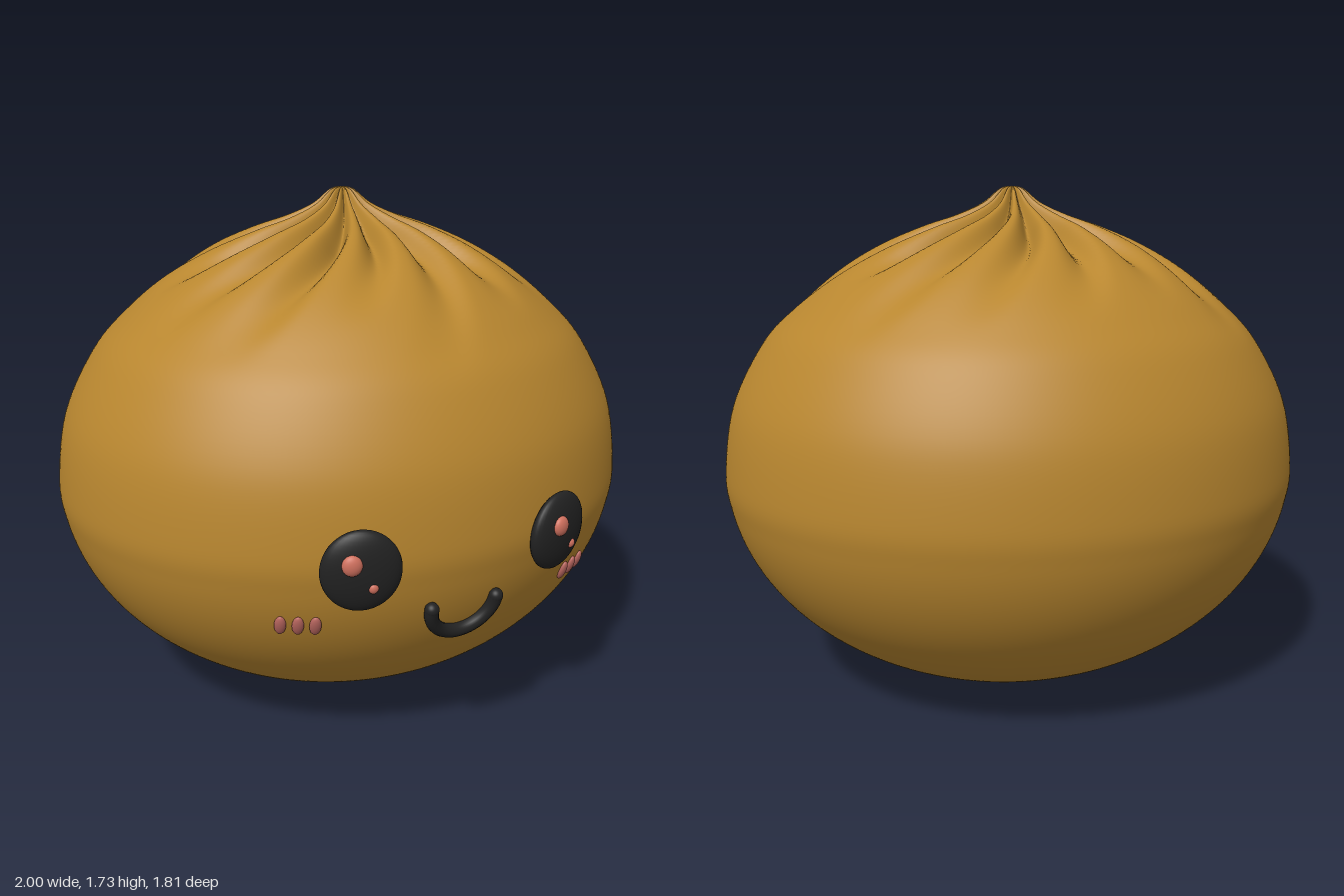
import * as THREE from 'three';
import { mergeVertices } from 'three/addons/utils/BufferGeometryUtils.js';

const mat = (name, color) => {
  const m = new THREE.MeshStandardMaterial({ color });
  m.name = name;
  return m;
};

const MID = 0.78, DEPTH = 0.892, SHIFT = -0.012, FOLDS = 14;
const smooth = THREE.MathUtils.smoothstep;

// Plump bun with spiral pleats gathered into a small peak
function bunGeometry() {
  const profile = [];
  for (let i = 0; i <= 10; i++) {
    const a = (i / 10) * Math.PI / 2;
    profile.push(new THREE.Vector2(Math.sin(a), MID - MID * Math.cos(a)));
  }
  [[0.963, 1.0], [0.86, 1.2], [0.75, 1.32], [0.61, 1.435], [0.46, 1.525], [0.31, 1.59],
    [0.19, 1.63], [0.1, 1.67], [0.04, 1.717], [0, 1.725]]
    .forEach(([r, y]) => profile.push(new THREE.Vector2(r, y)));
  const pts = new THREE.SplineCurve(profile).getPoints(140);
  pts.forEach((p) => { p.x = Math.max(p.x, 0); });
  pts[0].set(0, 0);
  pts[pts.length - 1].x = 0;

  let geo = new THREE.LatheGeometry(pts, 336);
  const pos = geo.attributes.position, nor = geo.attributes.normal;
  for (let i = 0; i < pos.count; i++) {
    let x = pos.getX(i), y = pos.getY(i), z = pos.getZ(i);
    const r = Math.hypot(x, z);
    if (y > 0.95 && r > 0.001) {
      // Position across the current pleat, twisting with radius
      const turn = (Math.atan2(z, x) - 0.8 * r + 1.8) / (2 * Math.PI) * FOLDS + 0.4 + 2 * FOLDS;
      const k = Math.floor(turn) % FOLDS, t = turn - Math.floor(turn);
      const valley = t < 0.4 ? smooth(t, 0, 0.4) : 1 - smooth(t, 0.4, 1);
      const reach = 0.78 + 0.1 * Math.sin(k * 2.4);
      const depth = Math.min(0.3 * r, 0.07 + 0.015 * Math.sin(k * 4.1)) * (1 - smooth(r, 0.28, reach));
      const d = -depth * Math.pow(valley, 1.6);
      x += nor.getX(i) * d;
      y += nor.getY(i) * d;
      z += nor.getZ(i) * d;
    }
    pos.setXYZ(i, x, y, z * DEPTH + SHIFT);
  }
  geo.deleteAttribute('uv');
  geo.deleteAttribute('normal');
  geo = mergeVertices(geo, 1e-5);
  geo.computeVertexNormals();
  return geo;
}

// Point and outward direction on the front of the bun
function onFront(x, y) {
  const v = (y - MID) / MID;
  const s = Math.sqrt(1 - x * x - v * v);
  return {
    point: new THREE.Vector3(x, y, DEPTH * s + SHIFT),
    normal: new THREE.Vector3(x, v / MID, s / DEPTH).normalize(),
  };
}

export function createModel() {
  const dough = mat('golden dough', 0xb8862f);
  const black = mat('soft black', 0x222222);
  const shine = mat('coral shine', 0xcf705e);
  const pink = mat('blush pink', 0xb8665f);

  const model = new THREE.Group();
  model.name = 'steamedBun';
  const add = (parent, name, geo, material) => {
    const m = new THREE.Mesh(geo, material);
    m.name = name;
    parent.add(m);
    return m;
  };
  add(model, 'bun', bunGeometry(), dough);

  const ball = new THREE.SphereGeometry(1, 36, 24);
  const forward = new THREE.Vector3(0, 0, 1);
  // Flattened ball lying on the surface
  const bead = (name, x, y, sx, sy, sz, lift, material) => {
    const { point, normal } = onFront(x, y);
    const m = add(model, name, ball, material);
    m.position.copy(point).addScaledVector(normal, lift);
    m.quaternion.setFromUnitVectors(forward, normal);
    m.scale.set(sx, sy, sz);
  };

  for (const side of [-1, 1]) {
    const label = side > 0 ? 'left' : 'right';
    const ex = side * 0.333;
    bead(label + 'Eye', ex, 0.745, 0.12, 0.128, 0.04, 0.01, black);
    bead(label + 'EyeShineLarge', ex - 0.028, 0.778, 0.03, 0.032, 0.018, 0.046, shine);
    bead(label + 'EyeShineSmall', ex + 0.03, 0.706, 0.015, 0.016, 0.012, 0.044, shine);
    for (let i = -1; i <= 1; i++) {
      bead(label + 'Blush' + (i + 2), side * 0.484 + i * 0.046, 0.548, 0.018, 0.036, 0.012, 0.003, pink);
    }
  }

  // Smile: a U-shaped tube with rounded ends
  const path = [];
  for (let i = 0; i <= 16; i++) {
    const a = Math.PI * (1 + i / 16);
    const { point, normal } = onFront(0.11 * Math.cos(a), 0.583 + 0.108 * Math.sin(a));
    path.push(point.addScaledVector(normal, 0.012));
  }
  const smile = new THREE.Group();
  smile.name = 'smile';
  model.add(smile);
  add(smile, 'smileCurve', new THREE.TubeGeometry(new THREE.CatmullRomCurve3(path), 48, 0.022, 14), black);
  for (const p of [path[0], path[path.length - 1]]) {
    const cap = add(smile, 'smileEnd', ball, black);
    cap.position.copy(p);
    cap.scale.setScalar(0.022);
  }
  return model;
}
